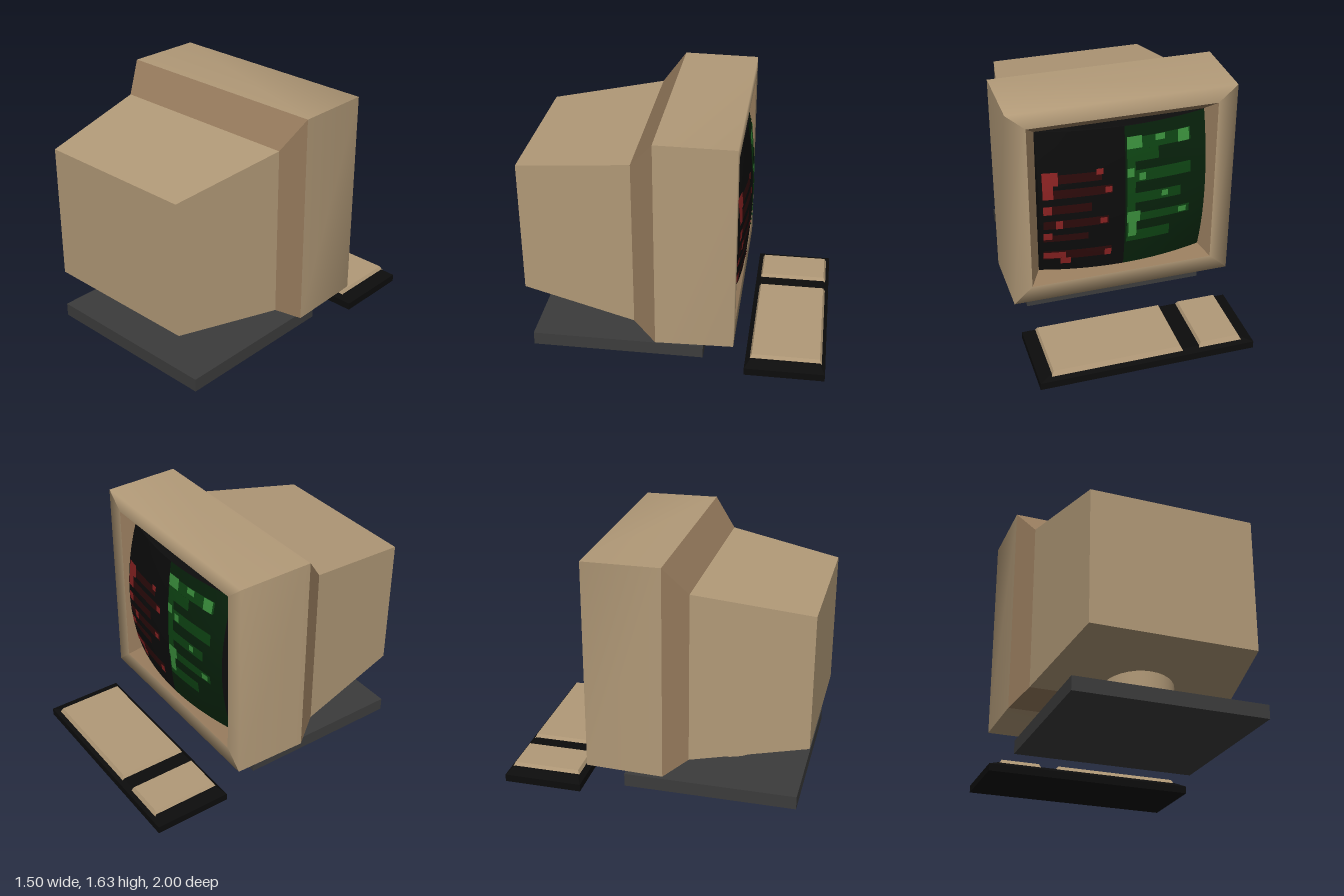
import * as THREE from 'three';

const mat = (name, color, side = THREE.FrontSide) => {
  const m = new THREE.MeshStandardMaterial({ color, side });
  m.name = name;
  return m;
};

export function createModel() {
  const tan = mat('tan plastic', 0xb29a78);
  const brown = mat('brown plastic', 0x957a5c);
  const grey = mat('dark grey', 0x3c3c3c);
  const black = mat('black', 0x0c0c0c);
  const darkRed = mat('dark red', 0x2c0a0a);
  const red = mat('red', 0x8a2222);
  const deepGreen = mat('deep green', 0x07210b);
  const midGreen = mat('mid green', 0x0e4413);
  const brightGreen = mat('bright green', 0x3a8f3c);

  const model = new THREE.Group();
  model.name = 'desktopMonitorAndKeyboard';
  const add = (name, geometry, material, parent = model) => {
    const mesh = new THREE.Mesh(geometry, material);
    mesh.name = name;
    parent.add(mesh);
    return mesh;
  };

  // Four-sided skin through rectangular rings [halfWidth, yLow, yHigh, z], back to screen side.
  // Each side is smooth along its length and creased at the corners.
  const skin = (rings) => {
    const pos = [], idx = [];
    for (let k = 0; k < 4; k++) {
      rings.forEach(([w, y0, y1, z], i) => {
        const c = [[w, y0], [w, y1], [-w, y1], [-w, y0]];
        const a = pos.length / 3;
        pos.push(...c[k], z, ...c[(k + 1) % 4], z);
        if (i < rings.length - 1) idx.push(a, a + 2, a + 3, a, a + 3, a + 1);
      });
    }
    const g = new THREE.BufferGeometry();
    g.setAttribute('position', new THREE.Float32BufferAttribute(pos, 3));
    g.setIndex(idx);
    g.computeVertexNormals();
    return g;
  };

  // Box between two heights whose top is inset
  const slab = (x0, x1, y0, y1, z0, z1, inX = 0, inZ = 0) => {
    const w = x1 - x0, d = z1 - z0;
    const g = new THREE.BoxGeometry(w, y1 - y0, d);
    const p = g.attributes.position;
    for (let i = 0; i < p.count; i++) {
      if (p.getY(i) > 0) {
        p.setX(i, p.getX(i) * (1 - 2 * inX / w));
        p.setZ(i, p.getZ(i) * (1 - 2 * inZ / d));
      }
    }
    g.translate((x0 + x1) / 2, (y0 + y1) / 2, (z0 + z1) / 2);
    g.computeVertexNormals();
    return g;
  };

  // Monitor housing
  const housing = new THREE.Group();
  housing.name = 'housing';
  model.add(housing);
  const tailEnd = [0.54, 0.44, 1.335, 1], tailRoot = [0.66, 0.32, 1.45, 0.25];
  const shellBack = [0.75, 0.225, 1.635, 0.1], shellFront = [0.745, 0.235, 1.63, -0.405];
  const bezelInner = [0.62, 0.35, 1.52, -0.405], recessEnd = [0.555, 0.42, 1.45, -0.32];
  add('tailBackPanel', new THREE.PlaneGeometry(1.08, 0.895).translate(0, 0.8875, 1), tan, housing);
  add('tail', skin([tailEnd, tailRoot]), tan, housing);
  add('shoulder', skin([tailRoot, shellBack]), brown, housing);
  add('shellAndBezel', skin([shellBack, shellFront, bezelInner]), tan, housing);
  add('screenRecess', skin([bezelInner, recessEnd]), brown, housing);

  // Bulging screen: s runs from -1 to 1 to the viewer's right, t upward
  const screen = new THREE.Group();
  screen.name = 'screen';
  model.add(screen);
  const bulge = (s, t) => -0.445 + 0.04 * (s * s + t * t) + 0.04 * s * s * t * t;
  const patch = (s0, s1, t0, t1, lift, n, skirt = false) => {
    const g = new THREE.PlaneGeometry(s1 - s0, t1 - t0, n, n);
    g.translate((s0 + s1) / 2, (t0 + t1) / 2, 0);
    const p = g.attributes.position;
    for (let i = 0; i < p.count; i++) {
      const s = p.getX(i), t = p.getY(i);
      const edge = Math.max(Math.abs(s), Math.abs(t)) > 1.001;
      const cs = THREE.MathUtils.clamp(s, -1, 1), ct = THREE.MathUtils.clamp(t, -1, 1);
      p.setXYZ(i, -cs * 0.555, 0.935 + ct * 0.515, skirt && edge ? -0.3 : bulge(cs, ct) - lift);
    }
    g.computeVertexNormals();
    return g;
  };
  add('tubeEdge', patch(-1.1, 1.1, -1.1, 1.1, -0.004, 22, true), black, screen);
  add('leftPane', patch(-1, 0, -1, 1, 0, 12), black, screen);
  add('rightPane', patch(0, 1, -1, 1, 0, 12), deepGreen, screen);

  // Display blocks as [left, right, top, bottom] fractions of the screen
  const blocks = (name, list, material, lift) => list.forEach(([l, r, a, b]) =>
    add(name, patch(2 * l - 1, 2 * r - 1, 1 - 2 * b, 1 - 2 * a, lift, 4), material, screen));
  blocks('dimRedBar', [
    [0.02, 0.36, 0.27, 0.33], [0.02, 0.42, 0.37, 0.43], [0.02, 0.3, 0.48, 0.54],
    [0.02, 0.4, 0.59, 0.65], [0.02, 0.28, 0.7, 0.75], [0.02, 0.42, 0.83, 0.9],
  ], darkRed, 0.003);
  blocks('redBlock', [
    [0.02, 0.11, 0.25, 0.34], [0.02, 0.08, 0.34, 0.43], [0.02, 0.07, 0.48, 0.54],
    [0.09, 0.13, 0.59, 0.65], [0.02, 0.07, 0.68, 0.73], [0.02, 0.15, 0.84, 0.89],
    [0.12, 0.18, 0.89, 0.94], [0.33, 0.37, 0.25, 0.29], [0.38, 0.42, 0.38, 0.42],
    [0.35, 0.39, 0.6, 0.64], [0.38, 0.42, 0.85, 0.9],
  ], red, 0.006);
  blocks('greenBar', [
    [0.51, 0.9, 0.08, 0.16], [0.51, 0.7, 0.16, 0.24], [0.51, 0.9, 0.3, 0.38],
    [0.51, 0.84, 0.46, 0.53], [0.51, 0.9, 0.61, 0.67], [0.51, 0.78, 0.74, 0.82],
    [0.51, 0.56, 0.24, 0.74],
  ], midGreen, 0.003);
  blocks('brightGreenBlock', [
    [0.51, 0.6, 0.07, 0.15], [0.68, 0.74, 0.08, 0.12], [0.82, 0.89, 0.08, 0.16],
    [0.51, 0.55, 0.28, 0.34], [0.58, 0.62, 0.32, 0.37], [0.51, 0.59, 0.59, 0.67],
    [0.52, 0.57, 0.67, 0.78], [0.72, 0.76, 0.47, 0.51], [0.83, 0.88, 0.62, 0.66],
  ], brightGreen, 0.006);

  // Swivel neck and foot
  add('neck', new THREE.CylinderGeometry(0.238, 0.238, 0.3, 32).translate(0, 0.27, 0.38), tan);
  add('foot', slab(-0.62, 0.62, 0.035, 0.125, -0.195, 0.945), grey);

  // Keyboard with two raised key fields
  const keyboard = new THREE.Group();
  keyboard.name = 'keyboard';
  model.add(keyboard);
  add('keyboardBase', slab(-0.71, 0.72, 0, 0.05, -1, -0.475), black, keyboard);
  add('keyboardTop', slab(-0.71, 0.72, 0.05, 0.077, -1, -0.475, 0.07, 0.035), black, keyboard);
  add('mainKeys', slab(-0.235, 0.645, 0.06, 0.1, -0.98, -0.5, 0.02, 0.018), tan, keyboard);
  add('numberKeys', slab(-0.635, -0.335, 0.06, 0.1, -0.98, -0.5, 0.02, 0.018), tan, keyboard);

  return model;
}
